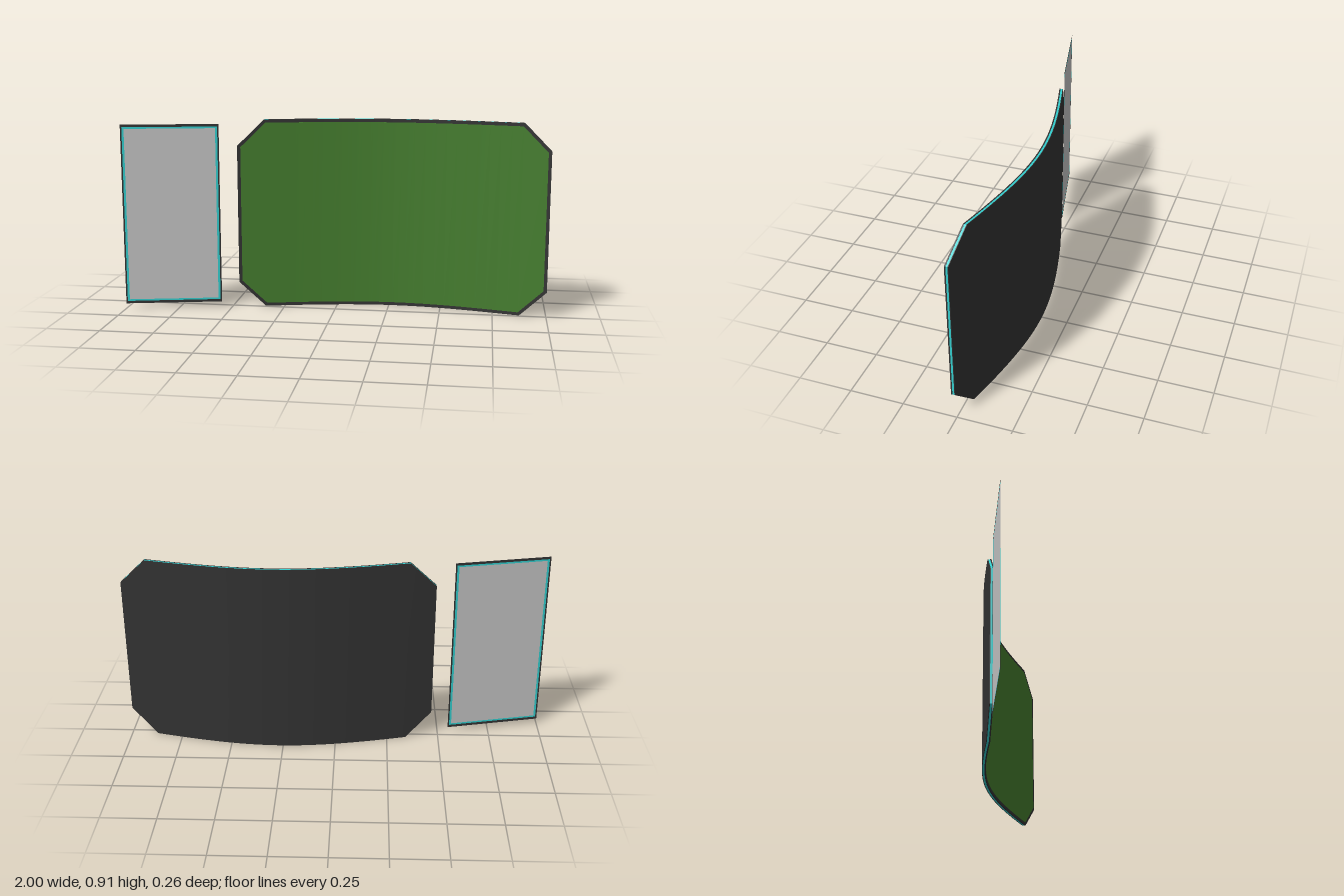
import * as THREE from 'three';
import { toCreasedNormals } from 'three/addons/utils/BufferGeometryUtils.js';

const CENTRE_X = 0.267, HALF_W = 0.732, HALF_H = 0.455, CHAMFER = 0.124;

function makeMaterial(name, color) {
  const m = new THREE.MeshStandardMaterial({ color, side: THREE.DoubleSide });
  m.name = name;
  return m;
}

// Front surface of the curved board: deepest in the middle, nearly straight at the ends
function curveZ(u) {
  const a = 0.6, t = u / HALF_W;
  return -0.108 + 0.13 * (Math.hypot(a, t) - a) / (Math.hypot(a, 1) - a);
}

// Curved slab with cut corners, from depth z0 (back) to z1 (front) relative to the curve
function curvedSlab(inset, z0, z1, segments = 24) {
  const w = HALF_W - inset, h = HALF_H - inset, c = CHAMFER - 0.586 * inset;
  const columns = [-w];
  for (let i = 0; i <= segments; i++) columns.push((w - c) * (2 * i / segments - 1));
  columns.push(w);

  const positions = [], indices = [];
  for (const u of columns) {
    const y = h - Math.max(0, Math.abs(u) - (w - c));
    const z = curveZ(u);
    positions.push(u, -y, z + z1, u, y, z + z1, u, y, z + z0, u, -y, z + z0);
  }
  const last = (columns.length - 1) * 4;
  for (let b = 0; b < last; b += 4) {
    for (let k = 0; k < 4; k++) {
      const p = b + k, q = b + (k + 1) % 4;
      indices.push(p, p + 4, q + 4, p, q + 4, q);
    }
  }
  indices.push(0, 1, 2, 0, 2, 3);
  indices.push(last, last + 2, last + 1, last, last + 3, last + 2);

  const g = new THREE.BufferGeometry();
  g.setAttribute('position', new THREE.Float32BufferAttribute(positions, 3));
  g.setIndex(indices);
  return toCreasedNormals(g, 0.5);
}

function rectangle(target, w, h) {
  target.moveTo(-w / 2, -h / 2);
  target.lineTo(w / 2, -h / 2);
  target.lineTo(w / 2, h / 2);
  target.lineTo(-w / 2, h / 2);
  target.closePath();
  return target;
}

// Flat rectangle, optionally with a rectangular opening
function flatFrame(w, h, holeW, holeH) {
  const shape = rectangle(new THREE.Shape(), w, h);
  if (holeW) shape.holes.push(rectangle(new THREE.Path(), holeW, holeH));
  return new THREE.ShapeGeometry(shape);
}

export function createModel() {
  const dark = makeMaterial('dark frame', 0x333333);
  const teal = makeMaterial('teal trim', 0x33d0d0);
  const green = makeMaterial('green screen', 0x457e2e);
  const grey = makeMaterial('grey panel', 0xc6c6c6);

  const model = new THREE.Group();
  model.name = 'curvedScreenWithSidePanel';
  const add = (parent, name, geometry, material) => {
    const mesh = new THREE.Mesh(geometry, material);
    mesh.name = name;
    parent.add(mesh);
  };

  // Curved screen: dark back, teal core, dark front bezel and green face
  const screen = new THREE.Group();
  screen.name = 'curvedScreen';
  screen.position.set(CENTRE_X, HALF_H, 0);
  add(screen, 'screenBack', curvedSlab(0, -0.018, -0.015), dark);
  add(screen, 'screenTrim', curvedSlab(0.0005, -0.015, -0.006), teal);
  add(screen, 'screenBezel', curvedSlab(0, -0.006, 0), dark);
  add(screen, 'screenFace', curvedSlab(0.015, -0.001, 0.0015), green);
  model.add(screen);

  // Flat side panel, angled inward: nested rims around a grey sheet
  const W = 0.46, H = 0.865;
  const panel = new THREE.Group();
  panel.name = 'sidePanel';
  panel.position.set(-0.775, 0.4575, 0.08);
  panel.rotation.y = Math.atan2(0.1, 0.45);
  add(panel, 'panelRim', flatFrame(W, H, W - 0.014, H - 0.024), dark);
  add(panel, 'panelTrim', flatFrame(W - 0.014, H - 0.024, W - 0.034, H - 0.04), teal);
  add(panel, 'panelSheet', flatFrame(W - 0.034, H - 0.04), grey);
  model.add(panel);

  return model;
}
